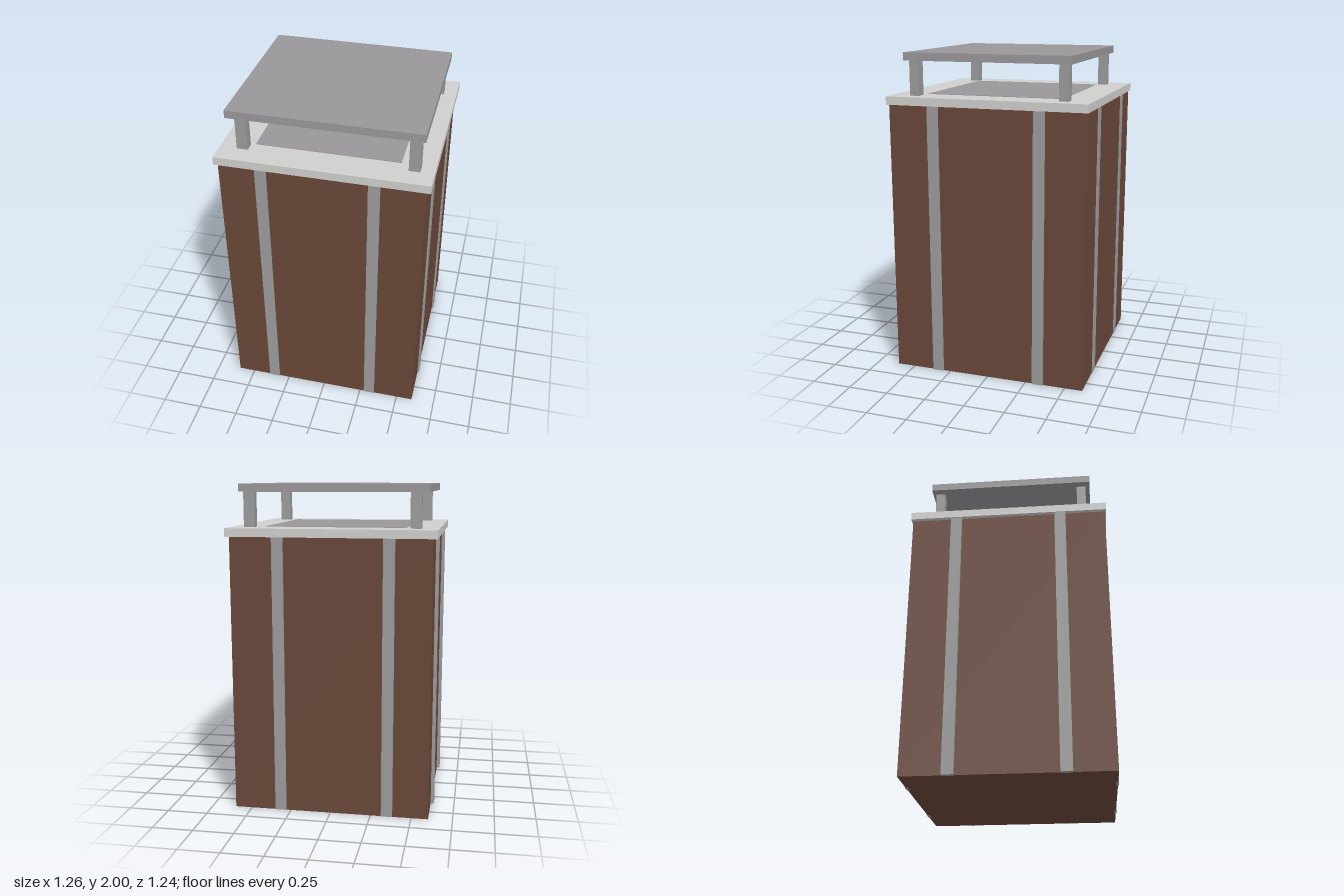
import * as THREE from 'three';

export function createModel() {
  const model = new THREE.Group();
  model.name = 'chimney';

  const mat = (name, color) => {
    const m = new THREE.MeshStandardMaterial({ color });
    m.name = name;
    return m;
  };
  const brick = mat('brick brown', 0x6a4739);
  const metal = mat('metal grey', 0x9c9c9d);
  const slate = mat('cover grey', 0x9a979b);
  const stone = mat('pale stone', 0xcfcfcd);

  // Box given by its minimum and maximum on each axis
  const box = (name, material, [x0, x1], [y0, y1], [z0, z1]) => {
    const mesh = new THREE.Mesh(new THREE.BoxGeometry(x1 - x0, y1 - y0, z1 - z0), material);
    mesh.position.set((x0 + x1) / 2, (y0 + y1) / 2, (z0 + z1) / 2);
    mesh.name = name;
    model.add(mesh);
  };

  // Brick shaft
  box('shaft', brick, [-0.603, 0.603], [0, 1.7], [-0.613, 0.613]);

  // Vertical strips, two on each face
  const strip = [0, 1.692];
  for (const x of [-0.35, 0.312]) {
    const span = [x - 0.035, x + 0.035];
    box('frontStrip', metal, span, strip, [0.6, 0.618]);
    box('backStrip', metal, span, strip, [-0.618, -0.6]);
  }
  for (const z of [-0.33, 0.33]) {
    const span = [z - 0.035, z + 0.035];
    box('leftStrip', metal, [0.59, 0.612], strip, span);
    box('rightStrip', metal, [-0.622, -0.59], strip, span);
  }

  // Capping slab with a darker panel in the middle
  box('capSlab', stone, [-0.628, 0.628], [1.692, 1.742], [-0.622, 0.622]);
  box('capPanel', slate, [-0.43, 0.43], [1.741, 1.745], [-0.42, 0.43]);

  // Corner posts carrying the cover
  for (const x of [-0.491, 0.514]) {
    for (const z of [-0.458, 0.47]) {
      box('coverPost', metal, [x - 0.033, x + 0.033], [1.74, 1.955], [z - 0.029, z + 0.029]);
    }
  }

  // Raised cover
  box('cover', slate, [-0.571, 0.571], [1.952, 2], [-0.508, 0.527]);

  return model;
}
